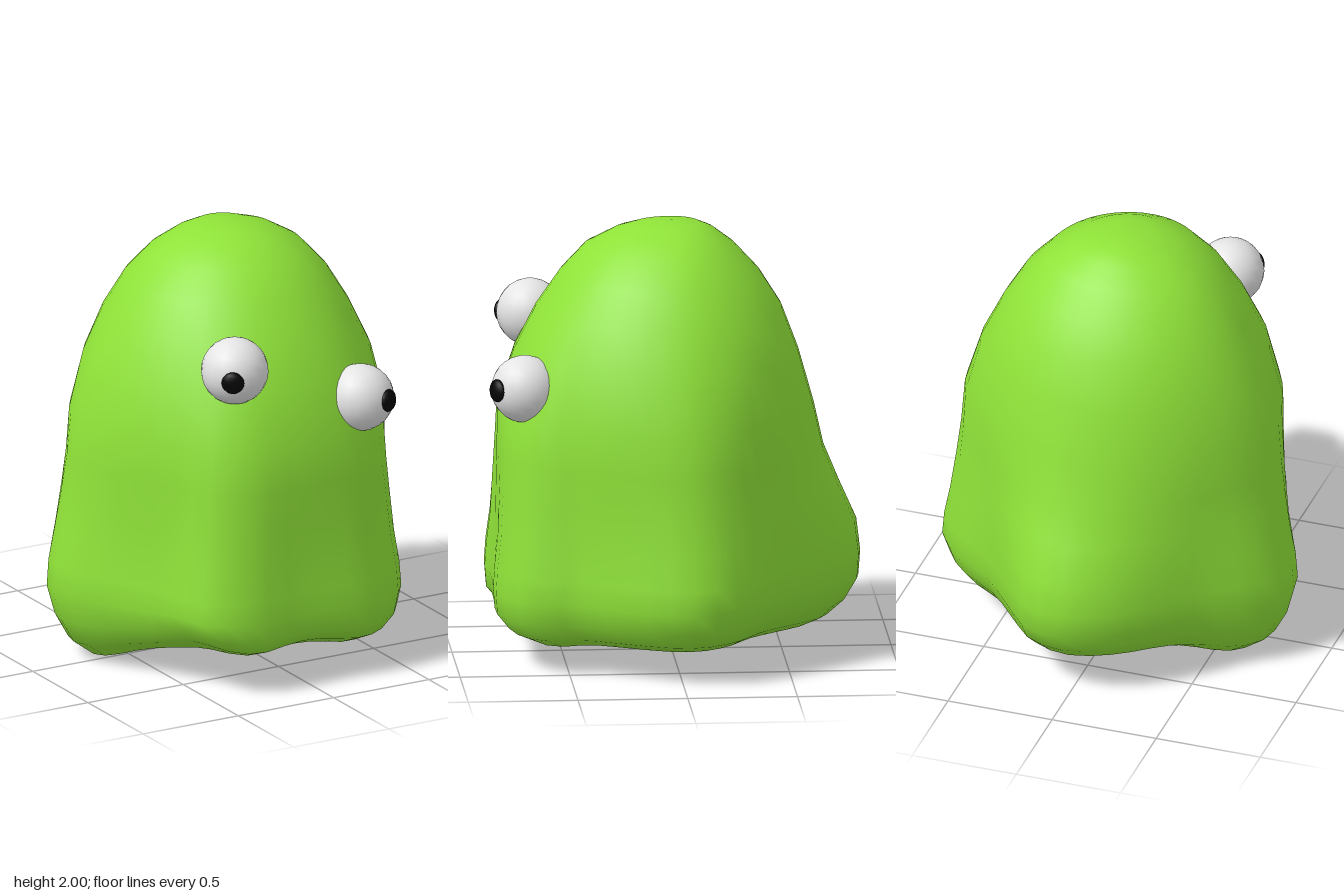
import * as THREE from 'three';
import { mergeVertices } from 'three/addons/utils/BufferGeometryUtils.js';

// Lobed outline of the hem (x, z), running from the back round over the left side
const HEM = [
  [0.02, -0.86], [0.2, -0.81], [0.34, -0.65], [0.5, -0.46], [0.71, -0.3], [0.83, -0.11],
  [0.82, 0.06], [0.7, 0.3], [0.57, 0.51], [0.56, 0.63], [0.48, 0.73], [0.3, 0.81], [0.1, 0.81],
  [-0.12, 0.81], [-0.33, 0.82], [-0.52, 0.73], [-0.59, 0.53], [-0.71, 0.26], [-0.83, 0],
  [-0.83, -0.15], [-0.73, -0.3], [-0.54, -0.45], [-0.36, -0.63], [-0.2, -0.77],
];

// Levels: height, half width, front reach, back reach, lobedness (0 round, 1 hem outline)
const LEVELS = [
  [2, 0, 0, 0, 0], [1.985, 0.13, 0.17, 0.13, 0], [1.95, 0.24, 0.27, 0.2, 0],
  [1.88, 0.36, 0.4, 0.29, 0], [1.76, 0.47, 0.51, 0.4, 0], [1.6, 0.565, 0.62, 0.5, 0],
  [1.4, 0.66, 0.72, 0.575, 0.06], [1.15, 0.735, 0.795, 0.645, 0.25], [0.95, 0.75, 0.8, 0.69, 0.43],
  [0.78, 0.77, 0.805, 0.76, 0.65], [0.6, 0.795, 0.81, 0.84, 0.87], [0.45, 0.825, 0.825, 0.858, 1],
  [0.34, 0.835, 0.832, 0.85, 1], [0.24, 0.8, 0.825, 0.79, 1], [0.17, 0.74, 0.77, 0.71, 1],
  [0.13, 0.64, 0.68, 0.62, 1], [0.13, 0.5, 0.53, 0.49, 0.9], [0.15, 0.36, 0.38, 0.35, 0.7],
  [0.16, 0.2, 0.2, 0.2, 0.4], [0.165, 0, 0, 0, 0],
];

const SIDES = 48;
const bump = (x, z, cx, cz, rx, rz = rx) =>
  Math.exp(-(((x - cx) / rx) ** 2) - ((z - cz) / rz) ** 2);

function bodyGeometry() {
  const hem = new THREE.CatmullRomCurve3(
    HEM.map(([x, z]) => new THREE.Vector3(x / 0.83, 0, z / (z > 0 ? 0.82 : 0.86))), true,
  ).getSpacedPoints(SIDES).slice(0, SIDES);
  const pos = [], index = [];
  for (const [y, w, front, back, lobes] of LEVELS) {
    for (const { x: u, z: v } of hem) {
      // blend a unit circle with the normalised hem outline; ridges start higher than valleys
      const len = Math.hypot(u, v);
      const k = THREE.MathUtils.lerp(1 / len, 1, len > 1 ? Math.sqrt(lobes) : lobes);
      const x = u * k * w;
      const z = v * k * (v > 0 ? front : back);
      // the right lobe sags to the ground, the front hem lifts at its corner and middle
      const low = THREE.MathUtils.clamp((0.4 - y) / 0.22, 0, 1);
      const dy = 0.07 * bump(x, z, -0.52, 0.64, 0.2) + 0.035 * bump(x, z, 0, 0.72, 0.2)
        - 0.02 * bump(x, z, 0.36, 0.6, 0.2) - 0.14 * bump(x, z, -0.56, -0.08, 0.29, 0.27);
      pos.push(x, y + dy * low, z);
    }
  }
  for (let i = 0; i < LEVELS.length - 1; i++) {
    for (let j = 0; j < SIDES; j++) {
      const a = i * SIDES + j, b = i * SIDES + (j + 1) % SIDES;
      if (i > 0) index.push(a, b, a + SIDES);
      if (i < LEVELS.length - 2) index.push(b, b + SIDES, a + SIDES);
    }
  }
  const g = new THREE.BufferGeometry();
  g.setAttribute('position', new THREE.Float32BufferAttribute(pos, 3));
  g.setIndex(index);
  const merged = mergeVertices(g, 1e-5);
  merged.computeVertexNormals();
  return merged;
}

export function createModel() {
  const green = new THREE.MeshStandardMaterial({ color: 0x8fe238 });
  green.name = 'slimeGreen';
  const white = new THREE.MeshStandardMaterial({ color: 0xe4e4e4 });
  white.name = 'eyeWhite';
  const black = new THREE.MeshStandardMaterial({ color: 0x050505 });
  black.name = 'pupilBlack';

  const model = new THREE.Group();
  model.name = 'blobCreature';
  const add = (parent, name, geometry, material) => {
    const mesh = new THREE.Mesh(geometry, material);
    mesh.name = name;
    parent.add(mesh);
    return mesh;
  };

  add(model, 'body', bodyGeometry(), green);

  // Eyes: half-sunk balls with flattened pupils looking outwards
  const ball = new THREE.SphereGeometry(0.154, 20, 14);
  const disc = new THREE.SphereGeometry(0.052, 14, 10).scale(1, 1, 0.5);
  const eyes = [
    ['rightEye', [-0.3, 1.51, 0.622], [-0.08, -0.01, 0.122]],
    ['leftEye', [0.32, 1.295, 0.692], [0.07, 0.01, 0.128]],
  ];
  for (const [name, at, look] of eyes) {
    const eye = new THREE.Group();
    eye.name = name;
    eye.position.set(...at);
    add(eye, name + 'Ball', ball, white);
    const pupil = add(eye, name + 'Pupil', disc, black);
    const dir = new THREE.Vector3(...look).normalize();
    pupil.position.copy(dir).multiplyScalar(0.149);
    pupil.quaternion.setFromUnitVectors(new THREE.Vector3(0, 0, 1), dir);
    model.add(eye);
  }
  return model;
}
